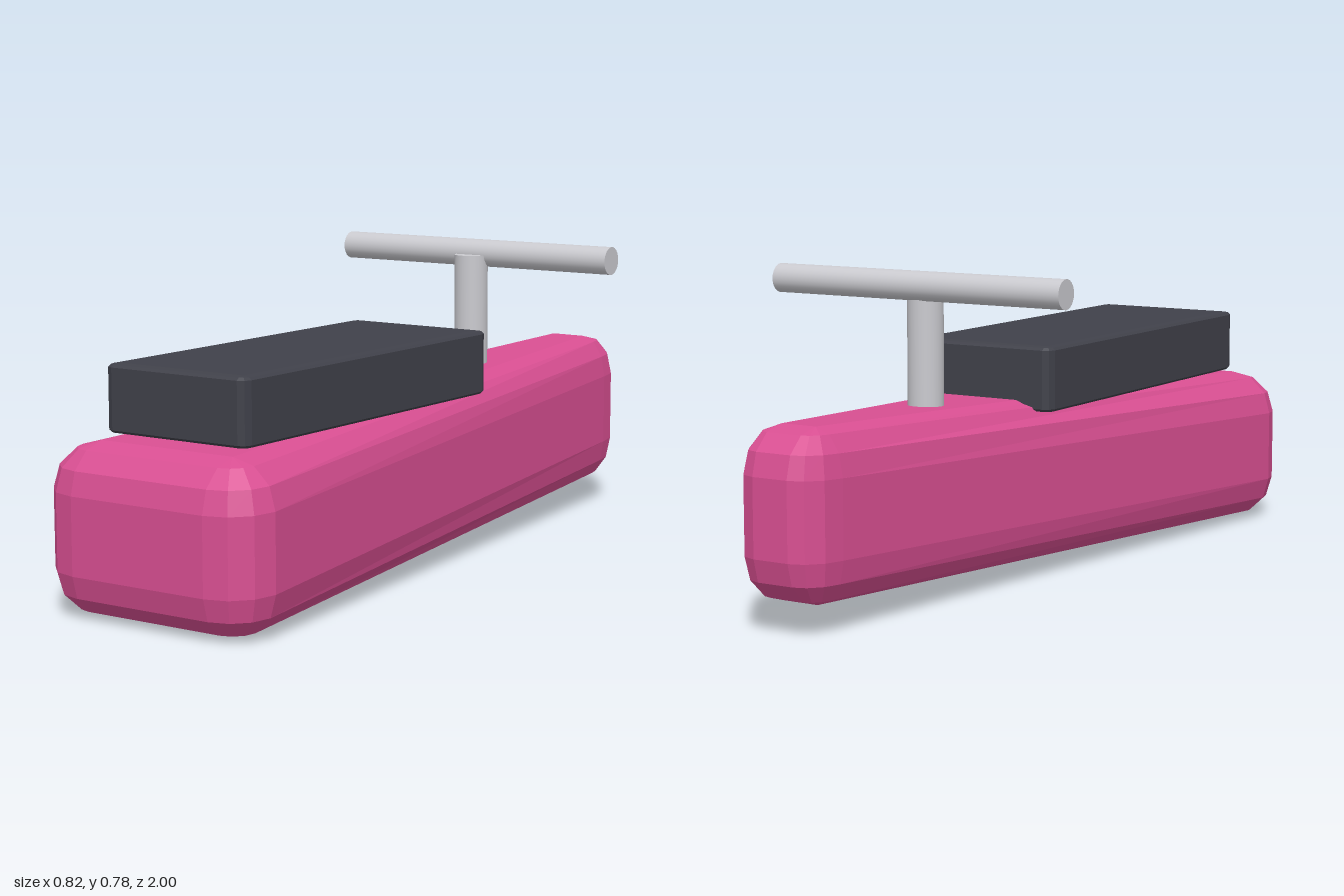
import * as THREE from 'three';

const mat = (name, color, extra = {}) =>
  Object.assign(new THREE.MeshStandardMaterial({ color, ...extra }), { name });

// Bevelled box from rings; place(sx, sy, sz, bx, by, bz) maps corner signs plus
// a bevel direction to a point.
function bevelBox(steps, place) {
  const pos = [], idx = [], rings = [], n = 4 * (steps + 1);
  for (const sy of [-1, 1]) {
    for (let i = 0; i <= steps; i++) {
      const e = (sy < 0 ? i - steps : i) / steps * Math.PI / 2;
      const start = pos.length / 3;
      for (let q = 0; q < 4; q++) {
        const sx = q === 0 || q === 3 ? 1 : -1, sz = q < 2 ? 1 : -1;
        for (let j = 0; j <= steps; j++) {
          const a = (q + j / steps) * Math.PI / 2;
          pos.push(...place(sx, sy, sz,
            Math.cos(e) * Math.cos(a), Math.sin(e), Math.cos(e) * Math.sin(a)));
        }
      }
      rings.push(start);
    }
  }
  // walls between rings
  for (let r = 0; r < rings.length - 1; r++) {
    for (let k = 0; k < n; k++) {
      const a = rings[r] + k, b = rings[r] + (k + 1) % n;
      const c = rings[r + 1] + k, d = rings[r + 1] + (k + 1) % n;
      idx.push(a, c, b, b, c, d);
    }
  }
  // flat bottom and top, one quad each from the four corner points
  const s = steps + 1, B = rings[0], T = rings[rings.length - 1];
  idx.push(B, B + s, B + 2 * s, B, B + 2 * s, B + 3 * s);
  idx.push(T, T + 2 * s, T + s, T, T + 3 * s, T + 2 * s);
  const g = new THREE.BufferGeometry();
  g.setAttribute('position', new THREE.Float32BufferAttribute(pos, 3));
  g.setIndex(idx);
  const flat = g.toNonIndexed();
  flat.computeVertexNormals();
  return flat;
}

export function createModel() {
  const pink = mat('pink body paint', 0xd94f92, { flatShading: true });
  const dark = mat('dark seat cover', 0x40414a, { flatShading: true });
  const metal = mat('light metal', 0xcacacf);
  const model = new THREE.Group();
  const add = (name, geometry, material, x = 0, y = 0, z = 0) => {
    const m = new THREE.Mesh(geometry, material);
    m.name = name;
    m.position.set(x, y, z);
    model.add(m);
    return m;
  };

  // body: tapers to the back and rises slightly towards it
  add('body', bevelBox(3, (sx, sy, sz, bx, by, bz) => {
    const front = sz > 0;
    const x = sx * (front ? 0.19 : 0.047) + bx * (front ? 0.117 : 0.073);
    const z = sz * 0.89 + bz * 0.11;
    const y = 0.24 - 0.037 * z + sy * 0.093 + by * 0.11;
    return [x, y, z];
  }), pink);

  // seat: long cushion with narrow bevels
  add('seat', bevelBox(2, (sx, sy, sz, bx, by, bz) => [
    sx * 0.182 + bx * 0.022,
    sy * 0.073 + by * 0.009,
    sz * 0.475 + bz * 0.025,
  ]), dark, 0, 0.502, 0.363);

  // steering column and handlebar
  add('steeringColumn', new THREE.CylinderGeometry(0.044, 0.044, 0.325, 24), metal, 0, 0.5825, -0.378);
  const bar = add('handlebar', new THREE.CylinderGeometry(0.036, 0.036, 0.816, 24), metal, 0, 0.748, -0.407);
  bar.rotation.z = Math.PI / 2;

  return model;
}
